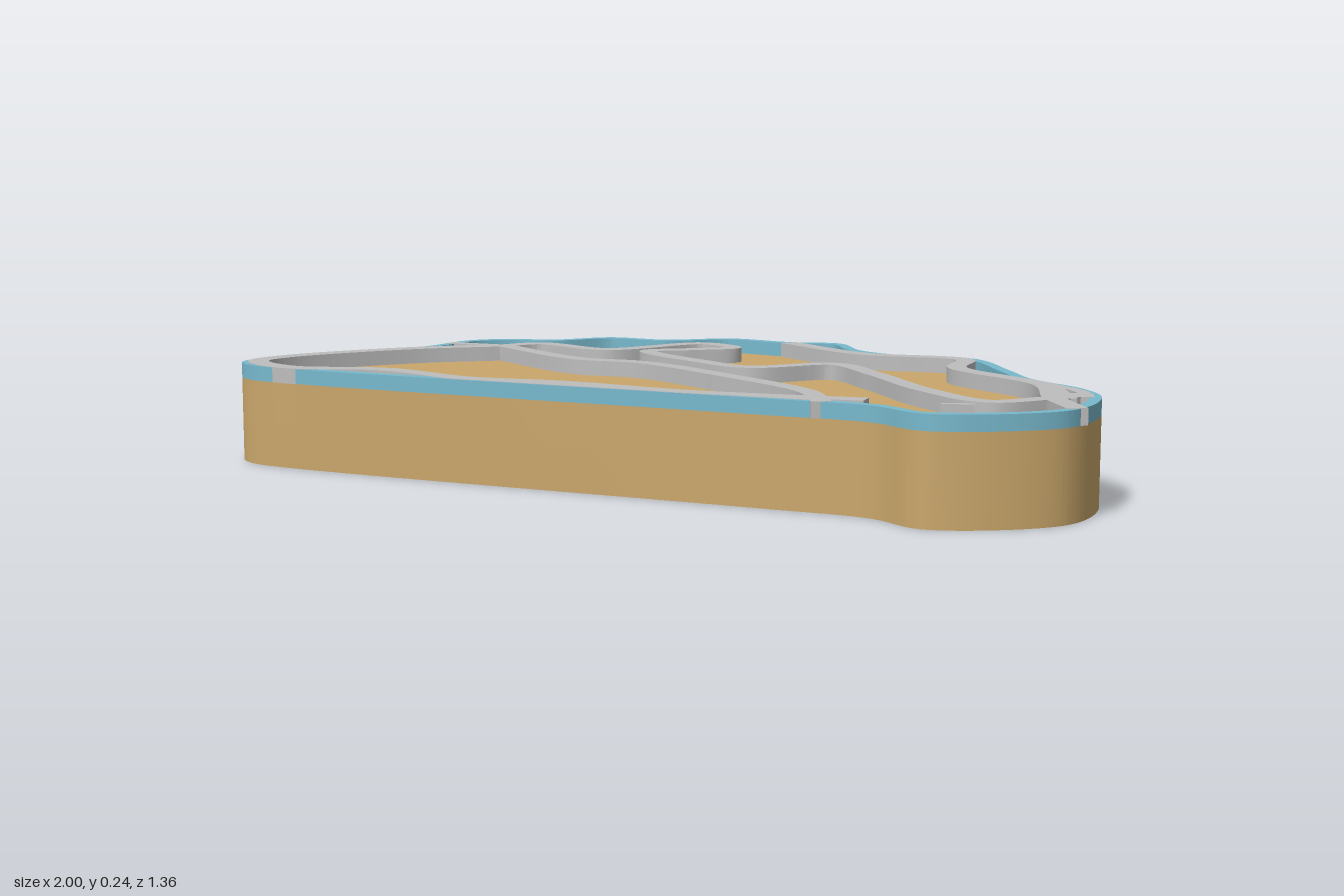
import * as THREE from 'three';
import { toCreasedNormals } from 'three/addons/utils/BufferGeometryUtils.js';

const SLAB = 0.2, TOP = 0.235;
const TUNNEL = { z: -0.4, y: 0.1, r: 0.08 };
const HOLE_R = 0.08, HOLE_DEPTH = 0.12;
const HOLES = [[0.57, -0.18], [0.49, 0.44], [-0.78, -0.01]];

// Plan outline as x, z pairs, from the left tip round the back
const OUTLINE = [
  -1, -0.01, -0.94, -0.14, -0.66, -0.37, -0.56, -0.55, -0.46, -0.595, -0.355, -0.59, -0.21, -0.67, -0.055, -0.63,
  0.105, -0.683, 0.27, -0.615, 0.395, -0.6, 0.465, -0.435, 0.6, -0.335, 0.735, -0.305, 0.82, -0.07, 0.865, 0.08,
  0.97, 0.24, 1, 0.38, 0.917, 0.595, 0.64, 0.675, 0.52, 0.567, 0.3, 0.49, -0.85, 0.118, -0.96, 0.06,
];

// Raised paths: name, width, then x, z pairs along the middle
const PATHS = [
  ['westPath', 0.05, [-0.45, -0.43, -0.665, -0.335, -0.925, -0.12, -0.965, -0.02, -0.85, 0.095, -0.62, 0.105,
    -0.4, 0.24, -0.18, 0.285, 0.14, 0.41, 0.51, 0.48]],
  ['frontEdgePath', 0.03, [-0.4, 0.25, 0, 0.375, 0.4, 0.49]],
  ['westSpur', 0.032, [-0.6, -0.475, -0.45, -0.43]],
  ['middlePath', 0.045, [-0.45, -0.43, -0.21, -0.17, -0.05, -0.115, 0.19, 0.125, 0.375, 0.36, 0.42, 0.525]],
  ['windingPath', 0.045, [-0.45, -0.43, -0.365, -0.49, -0.175, -0.38, 0.045, -0.548, 0.135, -0.46, 0.03, -0.405,
    -0.065, -0.36, 0.085, -0.16, 0.215, -0.055, 0.405, -0.143, 0.51, 0.035, 0.63, 0.305, 0.765, 0.476, 0.9, 0.4]],
  ['eastPath', 0.046, [0.265, -0.595, 0.47, -0.365, 0.71, -0.285, 0.7, -0.1, 0.88, 0.17, 0.9, 0.4, 0.94, 0.56]],
  ['eastBand', 0.055, [0.89, 0.17, 0.92, 0.41]],
  ['eastLoop', 0.03, [0.88, 0.14, 0.965, 0.32, 0.89, 0.44]],
  ['eastSpur', 0.06, [0.9, 0.35, 0.985, 0.35]],
  ['smallMarker', 0.018, [0.665, 0.523, 0.735, 0.523]],
];

// Smooth curve through x, z pairs, sampled at even steps
function sample(flat, n, closed = false) {
  const pts = [];
  for (let i = 0; i < flat.length; i += 2) pts.push(new THREE.Vector3(flat[i], 0, flat[i + 1]));
  return new THREE.CatmullRomCurve3(pts, closed, 'centripetal').getSpacedPoints(n);
}

// Shift points sideways: positive is to the right of travel
function offset(pts, d, closed) {
  const n = pts.length - 1;
  return pts.map((p, i) => {
    const a = pts[i > 0 ? i - 1 : closed ? n - 1 : 0];
    const b = pts[i < n ? i + 1 : closed ? 1 : n];
    const t = b.clone().sub(a).normalize();
    return new THREE.Vector3(p.x - t.z * d, 0, p.z + t.x * d);
  });
}

function fromQuads(quads) {
  const pos = [];
  for (const [a, b, c, d] of quads) for (const v of [a, b, c, a, c, d]) pos.push(v.x, v.y, v.z);
  const g = new THREE.BufferGeometry();
  g.setAttribute('position', new THREE.Float32BufferAttribute(pos, 3));
  return toCreasedNormals(g, 0.7);
}

const at = (p, y) => new THREE.Vector3(p.x, y, p.z);

// Raised strip between two side lines
function ribbon(L, R, y0, y1, closed) {
  const q = [], n = L.length - 1;
  for (let i = 0; i < n; i++) {
    const j = i + 1;
    q.push([at(R[i], y1), at(R[j], y1), at(L[j], y1), at(L[i], y1)]);
    q.push([at(R[i], y0), at(R[j], y0), at(R[j], y1), at(R[i], y1)]);
    q.push([at(L[j], y0), at(L[i], y0), at(L[i], y1), at(L[j], y1)]);
  }
  if (!closed) {
    q.push([at(L[0], y0), at(R[0], y0), at(R[0], y1), at(L[0], y1)]);
    q.push([at(R[n], y0), at(L[n], y0), at(L[n], y1), at(R[n], y1)]);
  }
  return fromQuads(q);
}

export function createModel() {
  const model = new THREE.Group();
  const mat = (name, color) => new THREE.MeshStandardMaterial({ name, color, side: THREE.DoubleSide });
  const sand = mat('sand', 0xcaa76b), blue = mat('waterBlue', 0x78b9cd), grey = mat('pathGrey', 0xbebebe);
  const add = (name, geo, m, parent = model) => {
    const mesh = new THREE.Mesh(geo, m);
    mesh.name = name;
    parent.add(mesh);
  };
  const edge = sample(OUTLINE, 900, true);

  // Slab wall, opened where the tunnel passes through
  const gap = (p) => Math.sqrt(Math.max(0, TUNNEL.r ** 2 - (p.z - TUNNEL.z) ** 2));
  const wall = [];
  for (let i = 0; i < edge.length - 1; i++) {
    const a = edge[i], b = edge[i + 1], ha = gap(a), hb = gap(b), y = TUNNEL.y;
    wall.push([at(b, 0), at(a, 0), at(a, y - ha), at(b, y - hb)]);
    wall.push([at(b, y + hb), at(a, y + ha), at(a, SLAB), at(b, SLAB)]);
  }
  add('slabWall', fromQuads(wall), sand);

  // Slab top and underside
  const flat = (s) => new THREE.Shape(edge.slice(0, -1).map((p) => new THREE.Vector2(p.x, s * p.z)));
  add('slabTop', new THREE.ShapeGeometry(flat(-1)).rotateX(-Math.PI / 2).translate(0, SLAB, 0), sand);
  const under = flat(1);
  for (const [x, z] of HOLES) under.holes.push(new THREE.Path().absarc(x, z, HOLE_R, 0, Math.PI * 2, true));
  add('slabUnderside', new THREE.ShapeGeometry(under, 24).rotateX(Math.PI / 2), sand);

  // Blind sockets in the underside
  for (const [x, z] of HOLES) {
    const socket = new THREE.Group();
    socket.name = 'socket';
    socket.position.set(x, 0, z);
    add('socketWall', new THREE.CylinderGeometry(HOLE_R, HOLE_R, HOLE_DEPTH, 48, 1, true)
      .translate(0, HOLE_DEPTH / 2, 0), sand, socket);
    add('socketEnd', new THREE.CircleGeometry(HOLE_R, 48).rotateX(Math.PI / 2)
      .translate(0, HOLE_DEPTH, 0), sand, socket);
    model.add(socket);
  }

  // Tunnel from side to side, trimmed to the outline
  const ends = (z) => {
    const xs = [];
    for (let i = 0; i < edge.length - 1; i++) {
      const a = edge[i], b = edge[i + 1];
      if ((a.z - z) * (b.z - z) <= 0 && a.z !== b.z) xs.push(a.x + (b.x - a.x) * (z - a.z) / (b.z - a.z));
    }
    return [Math.min(...xs), Math.max(...xs)];
  };
  const rings = [], SEG = 64;
  for (let i = 0; i <= SEG; i++) {
    const t = (i / SEG) * Math.PI * 2;
    const z = TUNNEL.z + TUNNEL.r * Math.cos(t), y = TUNNEL.y + TUNNEL.r * Math.sin(t);
    rings.push(ends(z).map((x) => new THREE.Vector3(x, y, z)));
  }
  const bore = [];
  for (let i = 0; i < SEG; i++) bore.push([rings[i][0], rings[i + 1][0], rings[i + 1][1], rings[i][1]]);
  add('tunnel', fromQuads(bore), sand);

  // Blue rim round the edge
  add('rim', ribbon(edge, offset(edge, 0.026, true), SLAB, TOP, true), blue);

  // Raised grey paths
  const paths = new THREE.Group();
  paths.name = 'paths';
  model.add(paths);
  for (const [name, width, pts] of PATHS) {
    const line = sample(pts, pts.length * 8);
    add(name, ribbon(offset(line, -width / 2), offset(line, width / 2), SLAB, TOP + 0.001), grey, paths);
  }
  return model;
}
